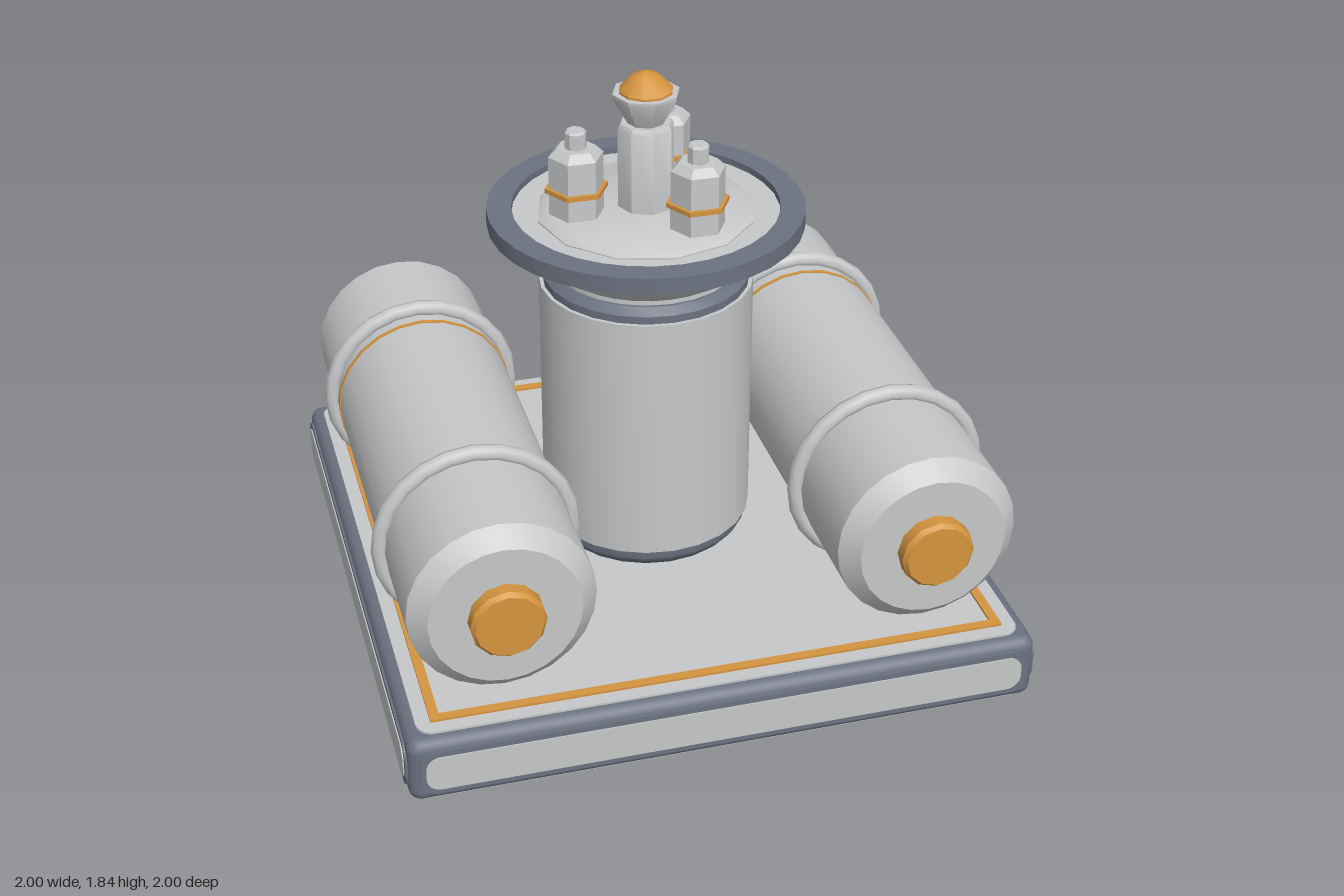
import * as THREE from 'three';
import { toCreasedNormals } from 'three/addons/utils/BufferGeometryUtils.js';
import { RoundedBoxGeometry } from 'three/addons/geometries/RoundedBoxGeometry.js';

const mat = (name, color) => {
  const m = new THREE.MeshStandardMaterial({ color });
  m.name = name;
  return m;
};

export function createModel() {
  const root = new THREE.Group();
  root.name = 'machine';
  const light = mat('light grey', 0xc6c8c9);
  const slate = mat('slate grey', 0x6b7280);
  const orange = mat('orange', 0xd4943f);

  const mesh = (parent, name, geo, material, x = 0, y = 0, z = 0) => {
    const m = new THREE.Mesh(geo, material);
    m.name = name;
    m.position.set(x, y, z);
    parent.add(m);
    return m;
  };
  // Turned part: profile of [radius, height] from bottom to top
  const turned = (parent, name, pts, sides, material, x, y, z) => {
    const geo = new THREE.LatheGeometry(pts.map(p => new THREE.Vector2(...p)), sides);
    geo.rotateY(Math.PI / 2);
    return mesh(parent, name, toCreasedNormals(geo, 0.6), material, x, y, z);
  };
  // Rectangle outline with rounded corners
  const roundRect = (w, h, r) => {
    const s = new THREE.Shape(), a = w / 2 - r, b = h / 2 - r;
    s.absarc(a, b, r, 0, Math.PI / 2);
    s.absarc(-a, b, r, Math.PI / 2, Math.PI);
    s.absarc(-a, -b, r, Math.PI, Math.PI * 1.5);
    s.absarc(a, -b, r, Math.PI * 1.5, Math.PI * 2);
    return s;
  };
  const plate = (shape, depth) =>
    new THREE.ExtrudeGeometry(shape, { depth, bevelEnabled: false, curveSegments: 5 });

  // Base block with inset panels
  const base = new THREE.Group();
  base.name = 'base';
  root.add(base);
  mesh(base, 'baseFrame', new RoundedBoxGeometry(1.98, 0.222, 1.98, 3, 0.04), slate, 0, 0.117, 0);
  for (let i = 0; i < 4; i++) {
    const side = new THREE.Group();
    side.name = 'baseSide';
    side.rotation.y = i * Math.PI / 2;
    base.add(side);
    mesh(side, 'panelRim', plate(roundRect(1.92, 0.155, 0.055), 0.009), slate, 0, 0.117, 0.987);
    mesh(side, 'sidePanel', plate(roundRect(1.88, 0.118, 0.045), 0.009), light, 0, 0.117, 0.991);
  }
  mesh(base, 'topPanel', plate(roundRect(1.9, 1.9, 0.05), 0.009), light, 0, 0.226, 0).rotation.x = -Math.PI / 2;
  mesh(base, 'bottomPanel', plate(roundRect(1.92, 1.92, 0.03), 0.009), light, 0, 0.009, 0).rotation.x = Math.PI / 2;
  const border = roundRect(1.81, 1.81, 0.005);
  border.holes.push(roundRect(1.75, 1.75, 0.005));
  mesh(base, 'trimBorder', plate(border, 0.008), orange, 0, 0.234, 0).rotation.x = -Math.PI / 2;

  // Pair of lying tanks, built upright and laid along z
  for (const s of [-1, 1]) {
    const tank = new THREE.Group();
    tank.name = s > 0 ? 'leftTank' : 'rightTank';
    tank.position.set(s * 0.663, 0.563, 0);
    tank.rotation.x = Math.PI / 2;
    root.add(tank);
    turned(tank, 'tankBody',
      [[0, -0.885], [0.232, -0.885], [0.287, -0.83], [0.287, 0.83], [0.232, 0.885], [0, 0.885]], 24, light);
    for (const z of [-0.462, 0.462]) {
      const geo = new THREE.TorusGeometry(0.3, 0.027, 8, 24).rotateX(Math.PI / 2);
      mesh(tank, 'tankHoop', geo, light, 0, z, 0);
    }
    turned(tank, 'tankStripe',
      [[0.28, -0.396], [0.291, -0.396], [0.291, -0.384], [0.28, -0.384]], 24, orange);
    turned(tank, 'tankKnob',
      [[0.115, 0.88], [0.115, 0.926], [0.103, 0.94], [0, 0.94]], 12, orange);
  }

  // Central column
  const column = new THREE.Group();
  column.name = 'column';
  root.add(column);
  turned(column, 'columnFoot', [[0.3, 0.235], [0.315, 0.25], [0.328, 0.27], [0.328, 0.305]], 24, slate);
  turned(column, 'columnBody', [[0.325, 0.29], [0.34, 0.303], [0.34, 1.14], [0.31, 1.14]], 24, light);
  turned(column, 'columnCollar',
    [[0.328, 1.135], [0.328, 1.165], [0.305, 1.188], [0.28, 1.188]], 24, slate);
  turned(column, 'columnNeck', [[0.295, 1.18], [0.295, 1.205]], 24, light);

  // Flared dish with a raised disc
  const dish = new THREE.Group();
  dish.name = 'dish';
  root.add(dish);
  turned(dish, 'dishCone', [[0.26, 1.2], [0.29, 1.2], [0.49, 1.335]], 32, light);
  turned(dish, 'dishRim',
    [[0.485, 1.334], [0.498, 1.336], [0.498, 1.39], [0.42, 1.39], [0.42, 1.36]], 32, slate);
  turned(dish, 'dishFloor', [[0.425, 1.368], [0, 1.368]], 32, light);
  turned(dish, 'dishDisc', [[0.345, 1.365], [0.345, 1.372], [0.31, 1.392], [0, 1.392]], 12, light);

  // Central post with a flared cup and tip
  const post = new THREE.Group();
  post.name = 'post';
  root.add(post);
  turned(post, 'postBody', [[0.09, 1.385], [0.09, 1.655], [0.08, 1.67], [0, 1.67]], 8, light);
  turned(post, 'postCup', [[0.056, 1.665], [0.106, 1.758], [0.106, 1.77], [0, 1.77]], 8, light);
  turned(post, 'postTip', [[0.085, 1.765], [0.085, 1.777], [0.042, 1.822], [0, 1.838]], 10, orange);

  // Three hexagonal canisters around the post
  for (let i = 0; i < 3; i++) {
    const a = Math.PI + i * Math.PI * 2 / 3;
    const can = new THREE.Group();
    can.name = 'canister';
    can.position.set(0.222 * Math.cos(a), 0, 0.222 * Math.sin(a));
    root.add(can);
    turned(can, 'canisterBody',
      [[0.087, 1.385], [0.087, 1.585], [0.062, 1.61], [0, 1.61]], 6, light);
    turned(can, 'canisterBand',
      [[0.08, 1.467], [0.1, 1.467], [0.1, 1.482], [0.08, 1.482]], 6, orange);
    turned(can, 'canisterNozzle',
      [[0.034, 1.605], [0.034, 1.66], [0.028, 1.667], [0, 1.667]], 8, light);
  }
  return root;
}
